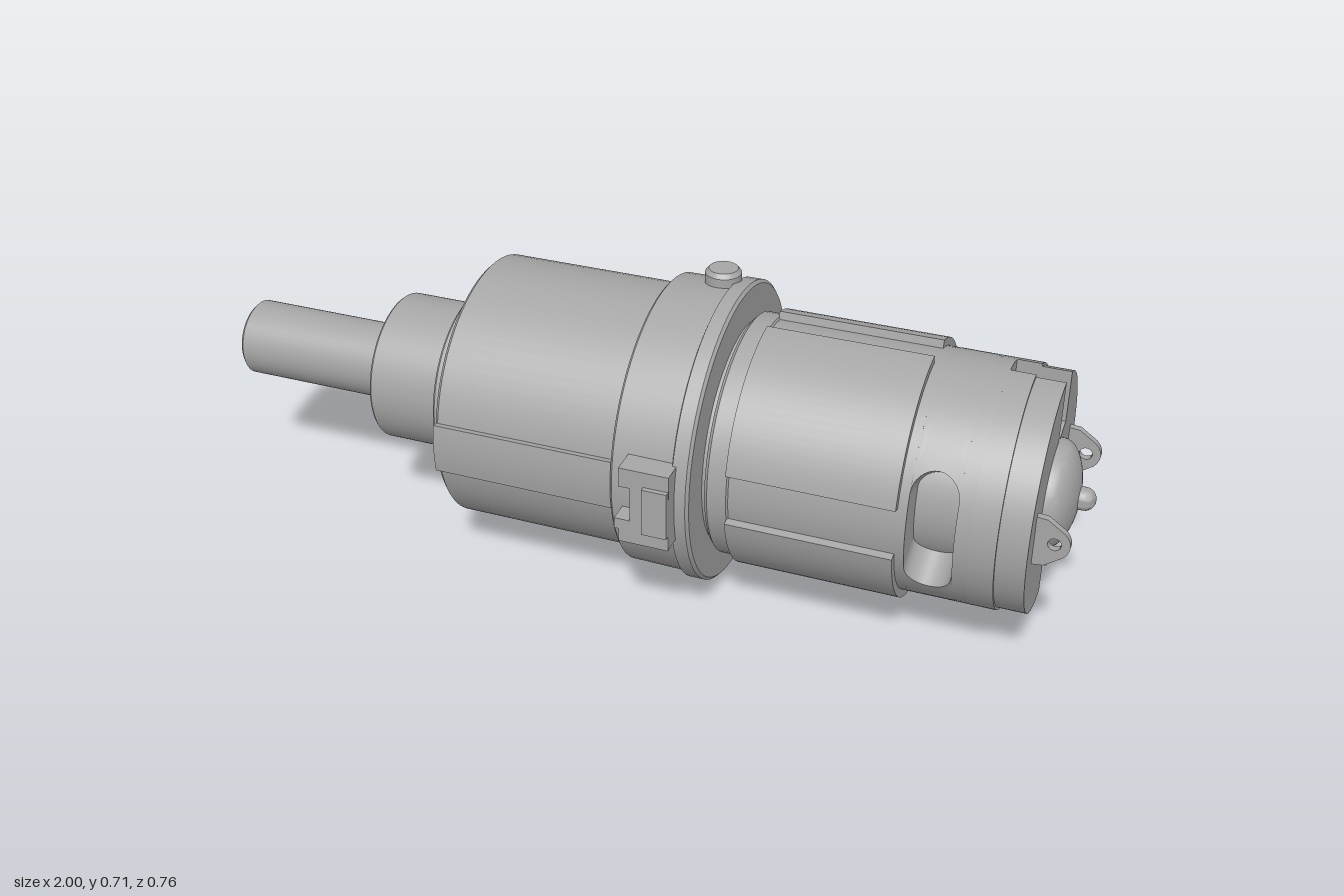
import * as THREE from 'three';
import { toCreasedNormals } from 'three/addons/utils/BufferGeometryUtils.js';

const steel = new THREE.MeshStandardMaterial({ color: 0xa6a6a6 });
steel.name = 'grey steel';
const deg = Math.PI / 180;
const AXIS_Y = 0.355;

export function createModel() {
  const model = new THREE.Group();
  model.name = 'motor';
  const body = new THREE.Group();
  body.name = 'motorBody';
  body.position.y = AXIS_Y;
  model.add(body);

  function add(name, geometry) {
    const mesh = new THREE.Mesh(toCreasedNormals(geometry, 35 * deg), steel);
    mesh.name = name;
    body.add(mesh);
    return mesh;
  }

  // Solid of revolution about x, from [x, radius] pairs in order of x
  function turned(name, profile, segments = 72) {
    const points = profile.map(([x, r]) => new THREE.Vector2(r, x));
    return add(name, new THREE.LatheGeometry(points, segments).rotateZ(-Math.PI / 2));
  }

  // Box bent round the x axis; angles run from +z up towards +y
  function bent(name, r0, r1, xAt, anglesAt, nx, na) {
    const g = new THREE.BoxGeometry(1, 1, 1, nx, na, 1);
    const p = g.attributes.position;
    for (let i = 0; i < p.count; i++) {
      const x = xAt(p.getX(i));
      const [a0, a1] = anglesAt(x);
      const a = a0 + (a1 - a0) * (p.getY(i) + 0.5);
      const r = r0 + (r1 - r0) * (p.getZ(i) + 0.5);
      p.setXYZ(i, x, r * Math.sin(a), r * Math.cos(a));
    }
    return add(name, g);
  }
  function sector(name, x0, x1, r0, r1, a0, a1) {
    return bent(name, r0, r1, t => x0 + (x1 - x0) * (t + 0.5),
      () => [a0 * deg, a1 * deg], 1, Math.ceil(Math.abs(a1 - a0) / 4));
  }

  // Output shaft and stepped collars
  turned('shaft', [[-1, 0], [-1, 0.08], [-0.992, 0.088], [-0.6, 0.088]], 48);
  turned('collar', [[-0.61, 0], [-0.61, 0.166], [-0.605, 0.17], [-0.42, 0.17]]);
  turned('shoulder', [[-0.43, 0], [-0.43, 0.206], [-0.424, 0.212], [-0.37, 0.212]]);

  // Gear housing with its flange
  turned('housing', [[-0.38, 0], [-0.38, 0.29], [-0.372, 0.298], [0.05, 0.298]]);
  turned('flange', [[0.04, 0.2], [0.04, 0.318], [0.046, 0.325], [0.178, 0.327], [0.182, 0.337],
    [0.214, 0.337], [0.22, 0.33], [0.22, 0]]);

  // Long raised ribs along both sides of the housing
  for (const mid of [0, 180])
    sector('sideRib', -0.375, 0.045, 0.28, 0.314, mid - 10.5, mid + 10.5);

  // Side lugs: a notched plate with a boss in the middle
  const lug = new THREE.Shape([[0.08, -0.09], [0.19, -0.09], [0.19, 0.09], [0.08, 0.09],
    [0.08, 0.045], [0.105, 0.045], [0.105, -0.035], [0.07, -0.035], [0.07, -0.06], [0.08, -0.06]]
    .map(([x, y]) => new THREE.Vector2(x, y)));
  for (const side of [1, -1]) {
    const plate = new THREE.ExtrudeGeometry(lug, { depth: 0.09, bevelEnabled: false });
    plate.translate(0, 0, side > 0 ? 0.28 : -0.37);
    add('lugPlate', plate);
    const boss = new THREE.BoxGeometry(0.055, 0.11, 0.09);
    boss.translate(0.162, 0, side * 0.336);
    add('lugBoss', boss);
  }

  // Round pegs above and below the flange
  for (const side of [1, -1]) {
    const peg = new THREE.LatheGeometry([[0.04, 0.27], [0.04, 0.345], [0.032, 0.355], [0, 0.355]]
      .map(([r, y]) => new THREE.Vector2(r, y)), 32);
    if (side < 0) peg.rotateX(Math.PI);
    peg.translate(0.15, 0, -0.07);
    add('peg', peg);
  }

  // Motor can
  turned('canNeck', [[0.2, 0.25], [0.235, 0.25]]);
  turned('can', [[0.23, 0.2], [0.23, 0.262], [0.238, 0.27], [0.28, 0.27], [0.283, 0.265],
    [0.66, 0.265], [0.66, 0.1]]);
  for (const [a0, a1] of [[12, 86], [104, 168], [-86, -12], [-168, -104]])
    sector('canPanel', 0.28, 0.64, 0.25, 0.283, a0, a1);

  // Ring with rounded vent openings at front and back, over an inner core
  for (const side of [0, Math.PI]) {
    const ring = bent('ventRing', 0.18, 0.265, t => 0.71 + 0.05 * Math.sin(t * Math.PI), x => {
      const h = 0.09 + Math.sqrt(Math.max(0, 0.0025 - (x - 0.71) ** 2));
      const a = Math.asin(h / 0.265);
      return [a, Math.PI - a];
    }, 16, 30);
    ring.rotation.x = side;
  }
  turned('core', [[0.65, 0.185], [0.77, 0.185]]);
  turned('rearRing', [[0.76, 0.1], [0.76, 0.265], [0.792, 0.265], [0.792, 0]]);

  // End cap, cut by a slot above and below
  function slottedDisc(name, x0, x1, r) {
    const near = Math.acos(0.085 / r), far = Math.acos(0.01 / r);
    const shape = new THREE.Shape();
    shape.absarc(0, 0, r, -near, near, false);
    shape.lineTo(0.085, 0.125);
    shape.lineTo(0.01, 0.115);
    shape.absarc(0, 0, r, far, 2 * Math.PI - far, false);
    shape.lineTo(0.01, -0.115);
    shape.lineTo(0.085, -0.125);
    const g = new THREE.ExtrudeGeometry(shape, { depth: x1 - x0, bevelEnabled: false, curveSegments: 36 });
    add(name, g.rotateY(Math.PI / 2).translate(x0, 0, 0));
  }
  slottedDisc('endCapBase', 0.79, 0.845, 0.265);
  slottedDisc('endCap', 0.845, 0.907, 0.259);

  // Bearing dome with a rounded shaft tip
  const dome = [[0.9, 0.118]];
  for (let i = 0; i <= 10; i++) {
    const a = i * 9 * deg;
    dome.push([0.912 + 0.055 * Math.sin(a), 0.118 * Math.cos(a)]);
  }
  turned('bearingDome', dome, 48);
  const tip = [[0.95, 0.025]];
  for (let i = 0; i <= 6; i++) {
    const a = i * 15 * deg;
    tip.push([0.976 + 0.024 * Math.sin(a), 0.025 * Math.cos(a)]);
  }
  turned('shaftTip', tip, 24);

  // Solder terminals with an eyelet
  for (const z of [0.182, -0.186]) {
    const tab = new THREE.Shape();
    tab.moveTo(0.9, -0.058);
    tab.lineTo(0.93, -0.055);
    tab.lineTo(0.968, -0.028);
    tab.quadraticCurveTo(0.992, 0, 0.968, 0.028);
    tab.lineTo(0.93, 0.055);
    tab.lineTo(0.9, 0.058);
    const eye = new THREE.Path();
    eye.absarc(0.948, 0, 0.014, 0, Math.PI * 2, true);
    tab.holes.push(eye);
    const g = new THREE.ExtrudeGeometry(tab, { depth: 0.016, bevelEnabled: false, curveSegments: 12 });
    add('terminal', g.translate(0, 0, z - 0.008));
  }
  return model;
}
